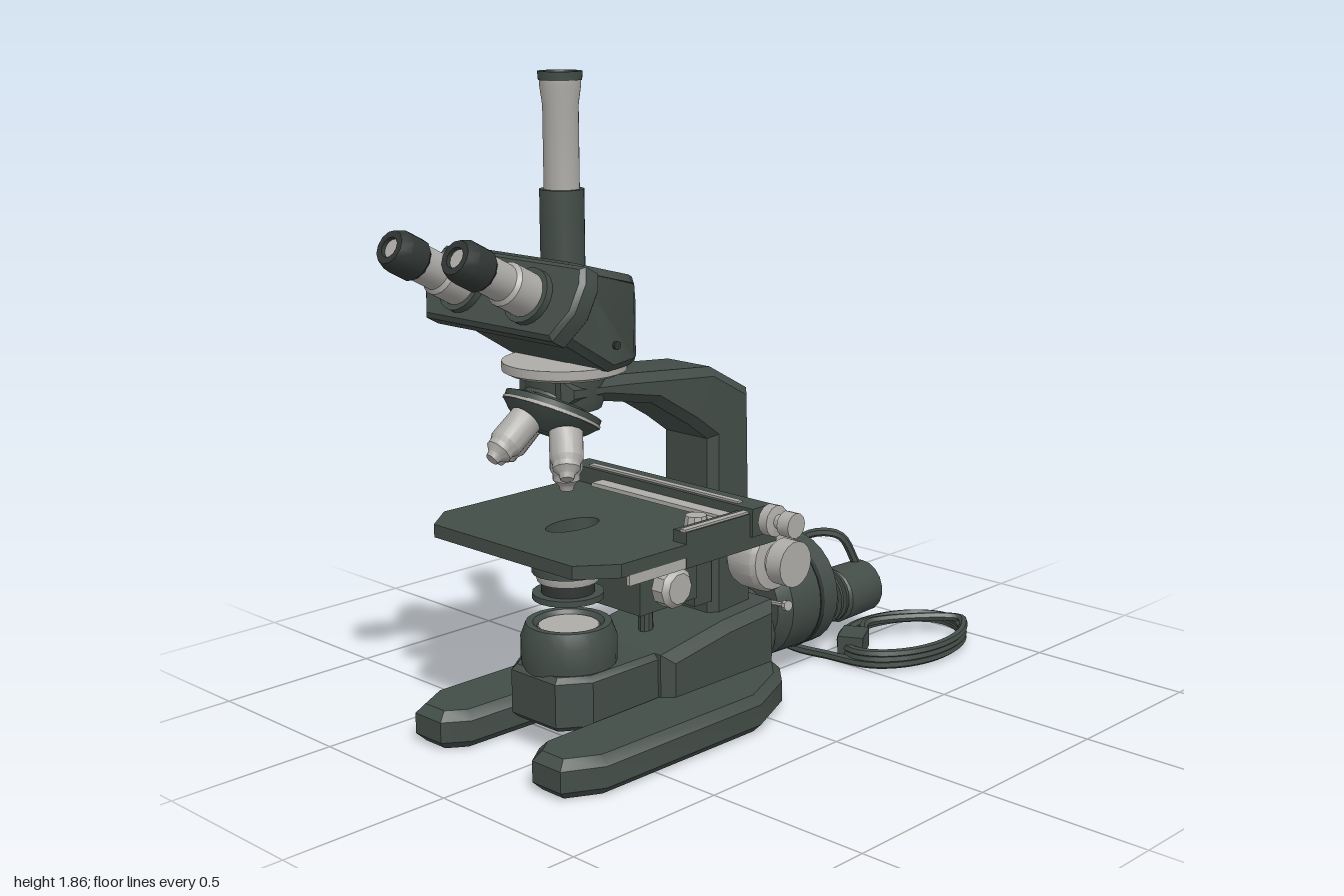
import * as THREE from 'three';
import { toCreasedNormals } from 'three/addons/utils/BufferGeometryUtils.js';

const CX = -0.055; // the instrument's axis sits slightly off centre because of the cable
const V = (x, y, z) => new THREE.Vector3(x, y, z);

export function createModel() {
  const root = new THREE.Group();
  root.name = 'microscope';
  const mat = (name, color) => {
    const m = new THREE.MeshStandardMaterial({ color });
    m.name = name;
    return m;
  };
  const green = mat('dark green enamel', 0x434d48);
  const metal = mat('light grey metal', 0xaeaca8);
  const black = mat('black rubber', 0x303634);

  const add = (name, geo, material) => {
    const m = new THREE.Mesh(toCreasedNormals(geo, 0.6), material);
    m.name = name;
    root.add(m);
    return m;
  };
  const box = (name, material, w, h, d, x, y, z) =>
    add(name, new THREE.BoxGeometry(w, h, d).translate(x, y, z), material);
  // Turned part: profile of [radius, distance] pairs along dir, starting at pos
  const turned = (name, material, profile, pos, dir, sides = 20) => {
    const end = profile.length - 1;
    const pts = [[0, profile[0][1]], ...profile, [0, profile[end][1]]].map(p => new THREE.Vector2(...p));
    const m = add(name, new THREE.LatheGeometry(pts, sides), material);
    m.quaternion.setFromUnitVectors(V(0, 1, 0), dir.clone().normalize());
    m.position.copy(pos);
    return m;
  };
  const shapeOf = pts => new THREE.Shape(pts.map(p => new THREE.Vector2(...p)));
  const extrude = (shape, depth, bevel) => new THREE.ExtrudeGeometry(shape, {
    depth: depth - 2 * bevel, bevelEnabled: bevel > 0, bevelSize: bevel, bevelThickness: bevel,
    bevelOffset: -bevel, bevelSegments: 1, curveSegments: 10,
  }).translate(0, 0, bevel);
  // Side profile in [z, y], extruded across x about the axis
  const sideProfile = (pts, width, bevel = 0) =>
    extrude(shapeOf(pts), width, bevel).translate(0, 0, -width / 2).rotateY(-Math.PI / 2);
  // Plan outline in [x, z], extruded down from top
  const plan = (shape, top, height, bevel = 0) =>
    extrude(shape, height, bevel).rotateX(Math.PI / 2).translate(CX, top, 0);
  const mirrored = half => shapeOf([...half, ...half.map(([x, z]) => [-x, z]).reverse()]);
  const UP = V(0, 1, 0), BACK = V(0, 0, -1);

  // Forked foot and pedestal
  add('forkedBase', plan(mirrored([[0.13, 0.32], [0.14, 0.74], [0.19, 0.81], [0.3, 0.81], [0.36, 0.7],
    [0.36, 0.1], [0.28, -0.08], [0.2, -0.16]]), 0.11, 0.11, 0.025), green);
  add('pedestal', sideProfile([[0.3, 0.05], [0.3, 0.235], [0.05, 0.275], [-0.165, 0.29], [-0.165, 0.03]], 0.38, 0.03)
    .translate(CX, 0, 0), green);
  add('lampBlock', plan(mirrored([[0.15, 0.26], [0.15, 0.55], [0.09, 0.635]]), 0.235, 0.155, 0.015), green);
  turned('lightPort', green, [[0.13, 0.2], [0.135, 0.25], [0.135, 0.31], [0.12, 0.35], [0.1, 0.35], [0.09, 0.335]],
    V(CX, 0, 0.5), UP, 24);
  turned('lightWindow', metal, [[0.085, 0.335], [0.085, 0.34]], V(CX, 0, 0.5), UP);

  // Curved arm
  add('arm', sideProfile([[0.59, 1.055], [0.36, 1.04], [0.02, 1.01], [-0.135, 0.925], [-0.15, 0.22], [0.03, 0.22],
    [0.03, 0.8], [0.107, 0.855], [0.25, 0.94], [0.45, 0.98], [0.59, 0.98]], 0.215, 0.025).translate(CX, 0, 0), green);
  turned('armSocket', green, [[0.1, 0.96], [0.11, 0.99], [0.11, 1.06]], V(CX, 0, 0.5), UP);

  // Head: narrows toward the back
  turned('headMount', metal, [[0.15, 1.055], [0.17, 1.065], [0.17, 1.09]], V(CX, 0, 0.5), UP, 28);
  const headGeo = sideProfile([[0.65, 1.39], [0.5, 1.35], [0.4, 1.325], [0.355, 1.31], [0.33, 1.25], [0.33, 1.075],
    [0.4, 1.08], [0.52, 1.085], [0.71, 1.2]], 0.42, 0.02);
  const hp = headGeo.attributes.position;
  for (let i = 0; i < hp.count; i++) {
    const z = hp.getZ(i);
    const s = z < 0.42 ? THREE.MathUtils.mapLinear(z, 0.33, 0.42, 0.5, 0.85) : Math.min(1, 0.85 + (z - 0.42) * 1.5);
    hp.setX(i, hp.getX(i) * s);
  }
  add('headBody', headGeo.translate(CX, 0, 0), green);
  const tilt = THREE.MathUtils.degToRad(28);
  add('eyepiecePlate', extrude(mirrored([[0.25, -0.1], [0.295, -0.02], [0.295, 0.06], [0.275, 0.105]]), 0.07, 0.012)
    .translate(0, 0, -0.035).rotateX(-tilt).translate(CX, 1.285, 0.7), green);
  for (const s of [-1, 1]) {
    turned('headScrew', black, [[0.012, 0], [0.012, 0.008]], V(CX + s * 0.2, 1.155, 0.5), V(s, 0, 0), 8);
    // Binocular eyepieces
    const pos = V(CX + s * 0.13, 1.285, 0.7), dir = V(0, Math.sin(tilt), Math.cos(tilt));
    turned('eyepieceCollar', green, [[0.075, 0.02], [0.075, 0.055]], pos, dir);
    turned('eyepieceTube', metal, [[0.06, 0.04], [0.06, 0.13], [0.05, 0.14], [0.05, 0.225]], pos, dir);
    turned('eyecup', black, [[0.05, 0.21], [0.058, 0.22], [0.058, 0.28], [0.046, 0.31], [0.028, 0.31], [0.025, 0.295]],
      pos, dir, 12);
    turned('eyeLens', metal, [[0.026, 0.296], [0.026, 0.3]], pos, dir, 12);
  }

  // Upright camera tube
  turned('cameraTubeBase', green, [[0.07, 1.28], [0.07, 1.33], [0.06, 1.34], [0.06, 1.55]], V(CX, 0, 0.5), UP);
  turned('cameraTube', metal, [[0.048, 1.54], [0.048, 1.77], [0.055, 1.82], [0.055, 1.84]], V(CX, 0, 0.5), UP);
  turned('cameraTubeCap', green, [[0.058, 1.835], [0.06, 1.858], [0.045, 1.858], [0.04, 1.85]], V(CX, 0, 0.5), UP);

  // Tilted turret with four objectives on a cone, one of them vertical
  const apex = V(CX, 1.05, 0.5), half = THREE.MathUtils.degToRad(27);
  const axis = V(0, -Math.cos(half), Math.sin(half));
  turned('turret', green, [[0.08, 0.04], [0.09, 0.08], [0.135, 0.09], [0.135, 0.115], [0.11, 0.14], [0.06, 0.17]], apex, axis, 24);
  turned('turretRing', metal, [[0.138, 0.106], [0.138, 0.114]], apex, axis, 24);
  for (let i = 0; i < 4; i++) {
    const dir = V(0, -1, 0).applyAxisAngle(axis, i * Math.PI / 2);
    const len = i % 2 ? 0.31 : 0.325;
    turned('objective', metal, [[0.035, 0.13], [0.035, 0.17], [0.046, 0.175], [0.046, len - 0.06],
      [0.038, len - 0.045], [0.038, len - 0.03], [0.022, len - 0.015], [0.018, len]], apex, dir, 14);
  }

  // Stage with light opening
  const stageShape = mirrored([[0.36, 0.1], [0.36, 0.64], [0.28, 0.74]]);
  stageShape.holes.push(new THREE.Path().absellipse(0, 0.48, 0.05, 0.09, 0, Math.PI * 2));
  add('stage', plan(stageShape, 0.622, 0.037), green);
  box('stageBackBar', green, 0.74, 0.08, 0.08, CX, 0.63, 0.11);
  box('stageBarScale', metal, 0.6, 0.006, 0.02, CX, 0.673, 0.125);
  box('stageSideRail', green, 0.05, 0.1, 0.36, 0.28, 0.605, 0.22);
  box('railScale', metal, 0.02, 0.006, 0.3, 0.29, 0.658, 0.25);
  box('stageLeftTrim', metal, 0.012, 0.04, 0.46, CX - 0.352, 0.575, 0.38);
  box('stageRightTrim', metal, 0.012, 0.04, 0.46, CX + 0.352, 0.575, 0.38);
  box('slideCarriage', metal, 0.56, 0.012, 0.045, 0, 0.64, 0.175);
  add('slideArm', plan(shapeOf([[0.16, 0.17], [0.33, 0.17], [0.33, 0.24], [0.29, 0.3], [0.24, 0.27]]), 0.638, 0.014), metal);
  turned('slideClamp', metal, [[0.035, 0], [0.03, 0.03]], V(0.215, 0.63, 0.27), UP, 10);
  turned('stageKnob', metal, [[0.025, 0], [0.025, 0.02], [0.045, 0.025], [0.045, 0.055], [0.02, 0.06], [0.02, 0.08],
    [0.036, 0.085], [0.036, 0.125]], V(0.305, 0.635, 0.1), V(1, 0, 0), 12);

  // Stage carrier, condenser and their controls
  box('stageCarrier', green, 0.34, 0.05, 0.38, CX, 0.565, 0.22);
  box('focusSlide', green, 0.2, 0.25, 0.07, CX, 0.44, 0.065);
  box('condenserCarrier', green, 0.22, 0.21, 0.23, CX, 0.45, 0.215);
  box('condenserBracket', green, 0.1, 0.04, 0.2, CX, 0.5, 0.39);
  turned('supportPost', green, [[0.022, 0.24], [0.022, 0.36]], V(CX, 0, 0.2), UP, 10);
  turned('condenserKnob', metal, [[0.03, 0], [0.03, 0.02], [0.06, 0.025], [0.06, 0.065], [0.045, 0.08]],
    V(CX + 0.1, 0.42, 0.24), V(1, 0, 0), 10);
  turned('condenser', metal, [[0.085, 0.47], [0.09, 0.49], [0.09, 0.54], [0.06, 0.585]], V(CX, 0, 0.5), UP);
  turned('condenserCollar', green, [[0.1, 0.495], [0.1, 0.52]], V(CX, 0, 0.5), UP);
  turned('condenserTopRing', green, [[0.1, 0.55], [0.1, 0.565]], V(CX, 0, 0.5), UP);
  turned('filterRing', green, [[0.1, 0.42], [0.1, 0.437]], V(CX, 0, 0.5), UP);
  turned('filterStem', black, [[0.075, 0.43], [0.075, 0.475]], V(CX, 0, 0.5), UP);
  box('irisLever', green, 0.012, 0.012, 0.16, CX, 0.55, 0.57);

  // Focus knobs on both sides of the arm
  for (const s of [-1, 1]) {
    turned('focusKnob', metal, [[0.07, 0], [0.07, 0.03], [0.095, 0.035], [0.1, 0.05], [0.1, 0.125], [0.09, 0.14],
      [0.055, 0.145], [0.055, 0.155], [0.068, 0.16], [0.068, 0.215]], V(CX + s * 0.1, 0.445, -0.095), V(s, 0, 0), 18);
  }

  // Lamp housing with cooling fins and socket
  turned('lampCollar', green, [[0.115, 0.15], [0.125, 0.17], [0.125, 0.225]], V(CX, 0.155, 0), BACK, 24);
  turned('lampHousing', green, [[0.14, 0.22], [0.175, 0.25], [0.18, 0.45], [0.165, 0.46]], V(CX, 0.23, 0), BACK, 28);
  turned('housingVent', black, [[0.181, 0.372], [0.181, 0.388]], V(CX, 0.23, 0), BACK, 28);
  turned('finCore', green, [[0.05, 0.45], [0.05, 0.65]], V(CX, 0.155, 0), BACK, 16);
  for (let i = 0; i < 6; i++) {
    const z = 0.475 + i * 0.027;
    turned('coolingFin', green, [[0.088, z], [0.088, z + 0.01]], V(CX, 0.16, 0), BACK, 18);
  }
  turned('lampSocket', green, [[0.075, 0.625], [0.088, 0.64], [0.085, 0.79]], V(CX, 0.15, 0), BACK, 18);
  const lever = turned('collarScrew', metal, [[0.008, 0], [0.008, 0.13], [0.016, 0.135], [0.016, 0.15]],
    V(CX + 0.06, 0.25, -0.22), V(1, 0.15, 0.2), 8);
  lever.name = 'lampLever';

  // Power cable: short lead out of the socket, then a flat coil ending in a plug
  const path = [V(-0.06, 0.22, -0.77), V(-0.09, 0.33, -0.71), V(-0.18, 0.32, -0.64), V(-0.245, 0.17, -0.57),
    V(-0.21, 0.04, -0.49), V(-0.08, 0.016, -0.475), V(0.06, 0.016, -0.49)];
  const turns = 2.4, steps = 34;
  for (let i = 0; i <= steps; i++) {
    const a = 1.3 - (i / steps) * turns * Math.PI * 2;
    const r = 1 - 0.05 * Math.abs(Math.sin(i * 0.45));
    path.push(V(0.15 + 0.172 * r * Math.cos(a), 0.016 + 0.04 * i / steps, -0.745 + 0.24 * r * Math.sin(a)));
  }
  path.push(V(0.03, 0.06, -0.72), V(0.07, 0.055, -0.64));
  add('powerCable', new THREE.TubeGeometry(new THREE.CatmullRomCurve3(path), 220, 0.014, 6), green);
  const plug = new THREE.Group();
  plug.name = 'plug';
  const plugPart = (name, m, w, h, d, x, z) => {
    const p = box(name, m, w, h, d, x, 0, z);
    plug.add(p);
  };
  plugPart('plugBody', green, 0.08, 0.06, 0.11, 0, 0);
  for (const s of [-1, 1]) plugPart('plugPin', metal, 0.015, 0.012, 0.06, s * 0.02, -0.085);
  plug.position.set(0.1, 0.055, -0.56);
  plug.rotation.y = 0.5;
  root.add(plug);

  return root;
}
